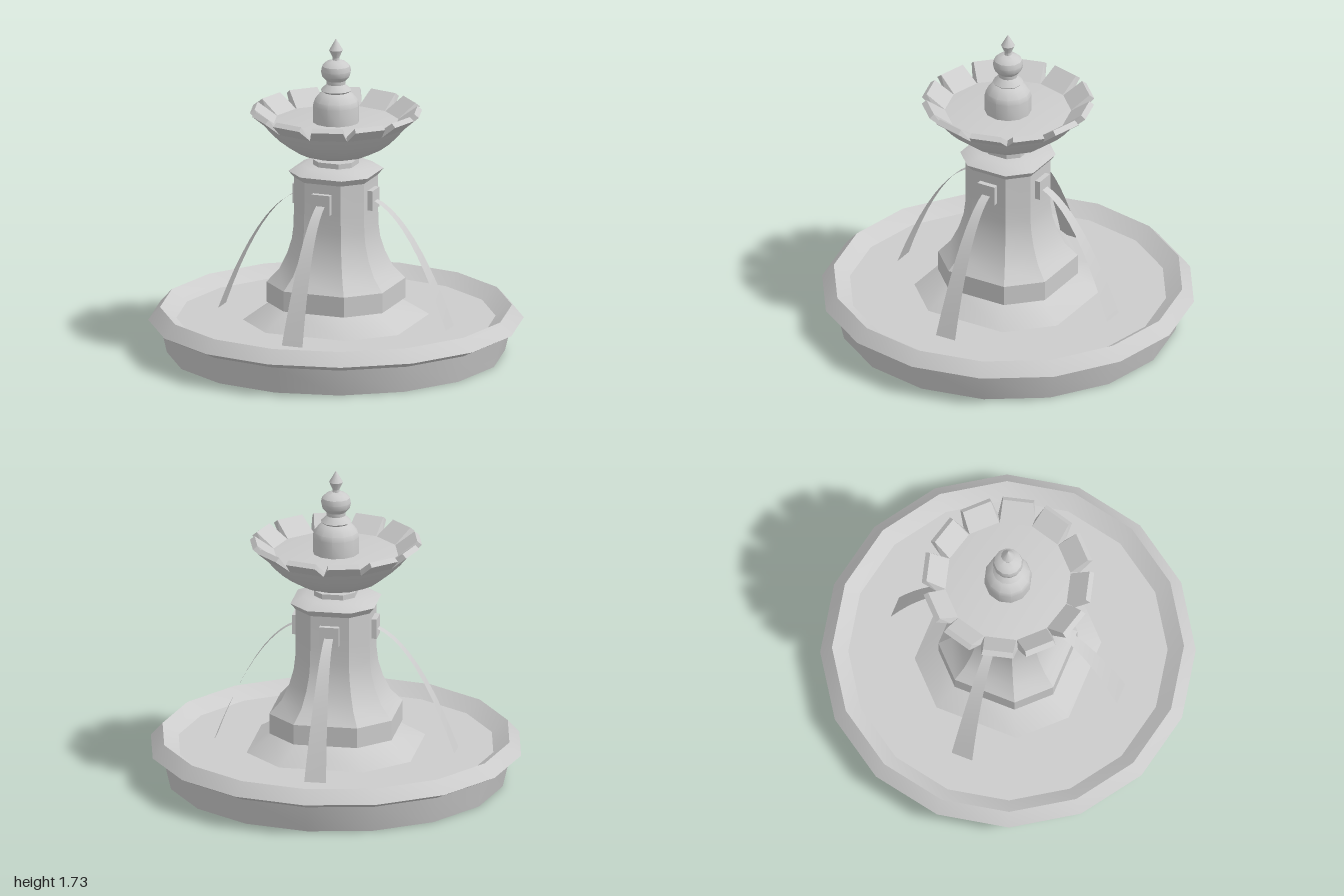
import * as THREE from 'three';
import { toCreasedNormals } from 'three/addons/utils/BufferGeometryUtils.js';
import { ConvexGeometry } from 'three/addons/geometries/ConvexGeometry.js';

const grey = new THREE.MeshStandardMaterial({ color: 0xcccccc });
const thin = new THREE.MeshStandardMaterial({ color: 0xcccccc, side: THREE.DoubleSide });
const CREASE = 0.56;

const named = (name, geometry, material = grey) => {
  const mesh = new THREE.Mesh(geometry, material);
  mesh.name = name;
  return mesh;
};
const lathe = (profile, sides) =>
  new THREE.LatheGeometry(profile.map(([r, y]) => new THREE.Vector2(r, y)), sides);
const turned = (name, profile, sides) => named(name, toCreasedNormals(lathe(profile, sides), CREASE));

// Eight-sided loft with a chamfered-square section; profile gives half-widths
function chamfered(name, profile) {
  const geo = lathe(profile, 8);
  const pos = geo.attributes.position;
  const cut = Math.atan(0.52);
  for (let i = 0; i < pos.count; i++) {
    const seg = Math.floor(i / profile.length) % 8;
    const w = profile[i % profile.length][0] / Math.cos(cut);
    const a = Math.floor(seg / 2) * Math.PI / 2 + (seg % 2 ? Math.PI / 2 - cut : cut);
    pos.setX(i, w * Math.sin(a));
    pos.setZ(i, w * Math.cos(a));
  }
  return named(name, toCreasedNormals(geo, CREASE));
}

// Falling sheet of water, widening as it drops
function streamGeometry() {
  const steps = 10;
  const geo = new THREE.PlaneGeometry(2, 1, 1, steps);
  const pos = geo.attributes.position;
  for (let i = 0; i < pos.count; i++) {
    const t = Math.floor(i / 2) / steps;
    const drop = 0.25 * t + 0.75 * t * t;
    pos.setXYZ(i, pos.getX(i) * (0.024 + 0.035 * drop), 0.86 - 0.67 * drop, 0.22 + 0.43 * t);
  }
  geo.computeVertexNormals();
  return geo;
}

// One solid rim petal spanning 30 degrees, narrower at the top
function petalGeometry() {
  const step = Math.PI / 6, inset = 0.075;
  const points = [];
  for (const [r, y, gap] of [[0.385, 1.257, 0], [0.33, 1.262, 0], [0.46, 1.322, inset], [0.435, 1.342, inset]]) {
    for (const a of [gap, step - gap]) {
      points.push(new THREE.Vector3(r * Math.sin(a), y, r * Math.cos(a)));
    }
  }
  return new ConvexGeometry(points);
}

export function createModel() {
  const model = new THREE.Group();
  model.name = 'fountain';

  // Lower pool with bevelled rim and water floor
  model.add(turned('basin', [
    [0, 0], [0.9, 0], [0.935, 0.147], [0.94, 0.15], [1, 0.18], [0.937, 0.25], [0.85, 0.19], [0, 0.19],
  ], 16));

  // Plinth, flared column, cap and neck
  model.add(chamfered('plinth', [
    [0.45, 0.185], [0.3, 0.285], [0.33, 0.285], [0.33, 0.395], [0, 0.395],
  ]));
  model.add(chamfered('column', [
    [0.33, 0.395], [0.27, 0.465], [0.232, 0.55], [0.21, 0.63], [0.202, 0.7], [0.2, 0.8], [0.2, 0.968],
  ]));
  model.add(chamfered('cap', [
    [0.2, 0.968], [0.226, 1.003], [0.16, 1.035], [0, 1.035],
  ]));
  model.add(chamfered('neck', [[0.11, 1.03], [0.11, 1.063], [0, 1.063]]));

  // Spout plates and water streams on the four broad faces
  const spout = new THREE.BoxGeometry(0.105, 0.108, 0.05);
  const stream = streamGeometry();
  for (let i = 0; i < 4; i++) {
    const side = new THREE.Group();
    side.name = 'spout';
    const plate = named('spoutPlate', spout);
    plate.position.set(0, 0.863, 0.204);
    side.add(plate, named('waterStream', stream, thin));
    side.rotation.y = i * Math.PI / 2;
    model.add(side);
  }

  // Upper bowl with its water surface
  model.add(turned('bowl', [
    [0, 1.08], [0.12, 1.08], [0.19, 1.1], [0.25, 1.13], [0.3, 1.167], [0.345, 1.21], [0.385, 1.257],
    [0.33, 1.268], [0, 1.268],
  ], 12));

  // Petals around the bowl rim
  const petal = petalGeometry();
  for (let i = 0; i < 12; i++) {
    const mesh = named('bowlPetal', petal);
    mesh.rotation.y = i * Math.PI / 6;
    model.add(mesh);
  }

  // Turned finial
  model.add(turned('finial', [
    [0.125, 1.26], [0.125, 1.36], [0.118, 1.385], [0.09, 1.42], [0.07, 1.432], [0.082, 1.442], [0.05, 1.475],
    [0.052, 1.495], [0.075, 1.52], [0.081, 1.548], [0.075, 1.575], [0.052, 1.597], [0.02, 1.607],
    [0.018, 1.62], [0.037, 1.662], [0, 1.725],
  ], 12));

  return model;
}
